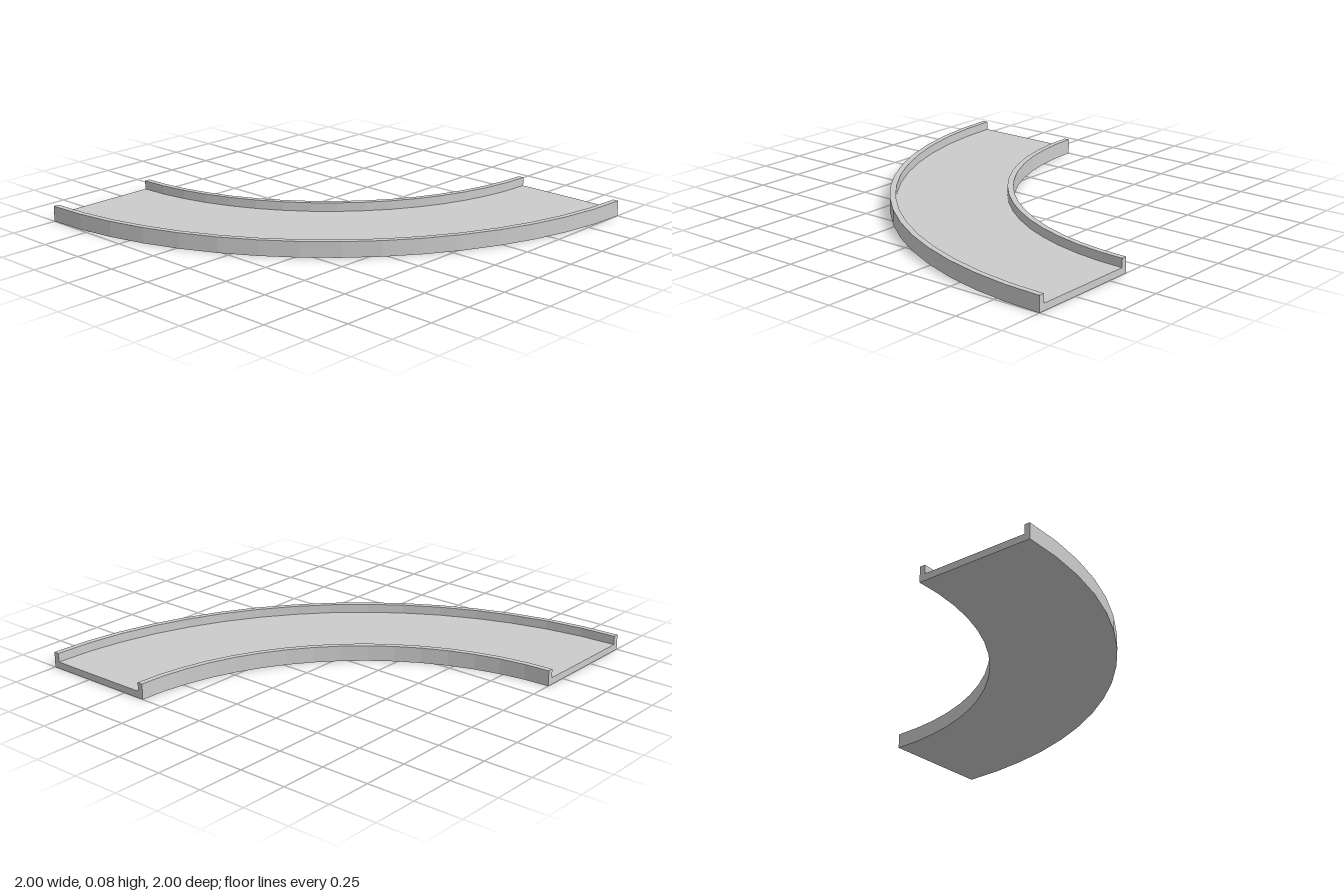
import * as THREE from 'three';

// Quarter-turn channel: a U-shaped profile bent around a corner
const INNER = 1.375, OUTER = 2, WALL = 0.03, FLOOR = 0.035, HEIGHT = 0.08, SEGMENTS = 16;

export function createModel() {
  const group = new THREE.Group();
  group.name = 'curvedTrack';

  // Cross-section: radius across, height up, with a rim on both edges
  const profile = new THREE.Shape([
    [INNER, 0], [OUTER, 0], [OUTER, HEIGHT], [OUTER - WALL, HEIGHT],
    [OUTER - WALL, FLOOR], [INNER + WALL, FLOOR], [INNER + WALL, HEIGHT], [INNER, HEIGHT],
  ].map(([r, y]) => new THREE.Vector2(r, y)));

  const geometry = new THREE.ExtrudeGeometry(profile, { depth: 1, steps: SEGMENTS, bevelEnabled: false });

  // Bend the straight channel through 90 degrees about the corner (1, -1)
  const pos = geometry.attributes.position;
  for (let i = 0; i < pos.count; i++) {
    const r = pos.getX(i);
    const angle = (1 - pos.getZ(i)) * Math.PI / 2;
    pos.setX(i, 1 - r * Math.cos(angle));
    pos.setZ(i, -1 + r * Math.sin(angle));
  }
  geometry.computeVertexNormals();

  const channel = new THREE.Mesh(geometry, new THREE.MeshStandardMaterial({ color: 0xcccccc, flatShading: true }));
  channel.name = 'channelWithRims';
  group.add(channel);
  return group;
}
